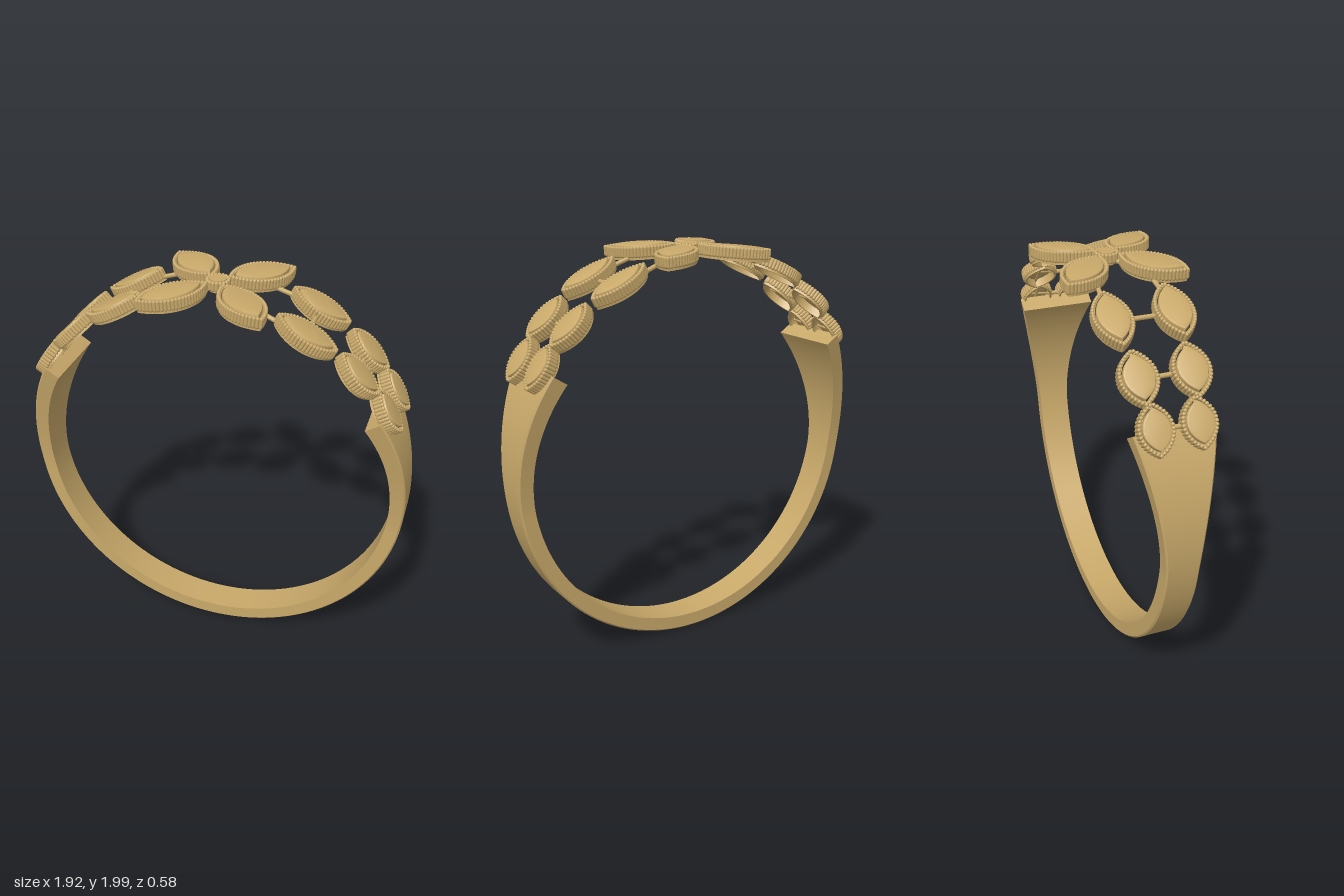
import * as THREE from 'three';
import { mergeGeometries, toCreasedNormals } from 'three/addons/utils/BufferGeometryUtils.js';

const CY = 0.96; // height of the ring's centre
const gold = new THREE.MeshStandardMaterial({ color: 0xc9a96a });

function add(parent, geometry, name) {
  const mesh = new THREE.Mesh(geometry, gold);
  mesh.name = name;
  parent.add(mesh);
  return mesh;
}

// Round bar between two points
function bar(parent, name, a, b, radius = 0.011) {
  const from = new THREE.Vector3(...a), to = new THREE.Vector3(...b);
  const dir = to.clone().sub(from);
  const mesh = add(parent, new THREE.CylinderGeometry(radius, radius, dir.length(), 10), name);
  mesh.position.copy(from).add(to).multiplyScalar(0.5);
  mesh.quaternion.setFromUnitVectors(new THREE.Vector3(0, 1, 0), dir.normalize());
}

// Open shank: a chamfered section swept round, widening towards both ends
function shankGeometry() {
  const steps = 128, start = THREE.MathUtils.degToRad(57.5), n = 6, c = 0.008;
  const pos = [], idx = [];
  for (let i = 0; i <= steps; i++) {
    const phi = start + (2 * Math.PI - 2 * start) * i / steps;
    const t = Math.max(0, (CY + 0.96 * Math.cos(phi) - 0.8) / 0.67);
    const w = 0.08 + 0.11 * t ** 1.6, ro = 0.96 + 0.012 * t ** 2, ri = 0.888;
    const section = [[ro, c - w], [ro, w - c], [ro - c, w], [ri, w], [ri, -w], [ro - c, -w]];
    for (const [r, z] of section) pos.push(r * Math.sin(phi), CY + r * Math.cos(phi), z);
  }
  for (let i = 0; i < steps; i++) {
    for (let j = 0; j < n; j++) {
      const a = i * n + j, b = i * n + (j + 1) % n;
      idx.push(a, b, a + n, b, b + n, a + n);
    }
  }
  const last = steps * n;
  for (let j = 1; j < n - 1; j++) idx.push(0, j + 1, j, last, last + j, last + j + 1);
  const g = new THREE.BufferGeometry();
  g.setAttribute('position', new THREE.Float32BufferAttribute(pos, 3));
  g.setIndex(idx);
  return toCreasedNormals(g, 0.5);
}

// Pointed leaf outline, half length L and half width W
function leafOutline(L, W, target = new THREE.Shape()) {
  const h = W / 0.75;
  target.moveTo(-L, 0);
  target.bezierCurveTo(-L * 0.48, -h, L * 0.48, -h, L, 0);
  target.bezierCurveTo(L * 0.48, h, -L * 0.48, h, -L, 0);
  return target;
}

function extrudeUp(shape, depth, y, bevel = 0) {
  const g = new THREE.ExtrudeGeometry(shape, {
    depth, curveSegments: 20, bevelEnabled: bevel > 0,
    bevelThickness: bevel, bevelSize: bevel, bevelOffset: -bevel, bevelSegments: 2,
  });
  g.rotateX(-Math.PI / 2).translate(0, y, 0);
  return toCreasedNormals(g, 0.5);
}

// One leaf setting: wall, beaded ribs round it, and a plate held inside
function makeLeaf(L, W, name) {
  const leaf = new THREE.Group();
  leaf.name = name;

  const ringShape = leafOutline(L, W);
  ringShape.holes.push(leafOutline(L * 0.91, W * 0.89, new THREE.Path()));
  add(leaf, extrudeUp(ringShape, 0.056, 0), 'leafWall');

  const outline = leafOutline(L, W);
  const count = Math.round(outline.getLength() / 0.0165);
  const ribs = outline.getSpacedPoints(count).slice(0, count).map((p) =>
    new THREE.CapsuleGeometry(0.0095, 0.036, 3, 7).translate(p.x, 0.037, p.y));
  add(leaf, mergeGeometries(ribs), 'beadedRibs');

  add(leaf, extrudeUp(leafOutline(L * 0.85, W * 0.84), 0.02, 0.042, 0.005), 'leafPlate');

  // Small struts carrying the plate
  bar(leaf, 'plateStrut', [-L * 0.1, 0.038, -W * 0.95], [L * 0.1, 0.038, W * 0.95], 0.008);
  bar(leaf, 'plateStrut', [-L * 0.97, 0.038, 0], [L * 0.97, 0.038, 0], 0.008);
  return leaf;
}

// Point on the ring at angle phi from the top
const onRing = (phi, r, z) => [r * Math.sin(phi), CY + r * Math.cos(phi), z];

export function createModel() {
  const model = new THREE.Group();
  model.name = 'ring';
  add(model, shankGeometry(), 'shank');

  // Leaf rows: angle from top, half length, half width, distance from the middle
  const rows = [
    [27, 0.147, 0.083, 0.142],
    [44, 0.12, 0.082, 0.12],
    [57, 0.108, 0.075, 0.098],
  ];
  for (const sx of [-1, 1]) {
    for (const [deg, L, W, z] of rows) {
      const phi = sx * THREE.MathUtils.degToRad(deg);
      for (const sz of [-1, 1]) {
        const leaf = makeLeaf(L, W, 'shoulderLeaf');
        leaf.position.set(...onRing(phi, 0.95, sz * z));
        leaf.rotation.z = -phi;
        model.add(leaf);
      }
      // Crossbar joining the two rows
      const half = z - W + 0.01;
      bar(model, 'crossbar', onRing(phi, 0.978, -half), onRing(phi, 0.978, half));
    }
    for (const sz of [-1, 1]) {
      // Flower petal
      const petal = makeLeaf(0.166, 0.09, 'petal');
      petal.position.set(sx * 0.158, 1.912, sz * 0.164);
      petal.rotation.set(0, Math.atan2(-sz * 0.7, sx * 0.74), -sx * 0.08, 'ZYX');
      model.add(petal);
      bar(model, 'petalArm', [0, 1.947, 0], [sx * 0.09, 1.942, sz * 0.09], 0.012);

      // Link from petal to first leaf
      bar(model, 'petalLink', onRing(sx * 0.235, 0.985, sz * 0.13),
        onRing(sx * 0.35, 0.978, sz * 0.142));
    }
  }

  // Flower centre with its ring of beads
  const hub = add(model, new THREE.CylinderGeometry(0.04, 0.04, 0.058, 28), 'flowerCentre');
  hub.position.y = 1.958;
  const beads = [];
  for (let i = 0; i < 18; i++) {
    const a = i / 18 * Math.PI * 2;
    beads.push(new THREE.CapsuleGeometry(0.0095, 0.03, 3, 8)
      .translate(0.049 * Math.cos(a), 1.964, 0.049 * Math.sin(a)));
  }
  add(model, mergeGeometries(beads), 'centreBeads');
  return model;
}
